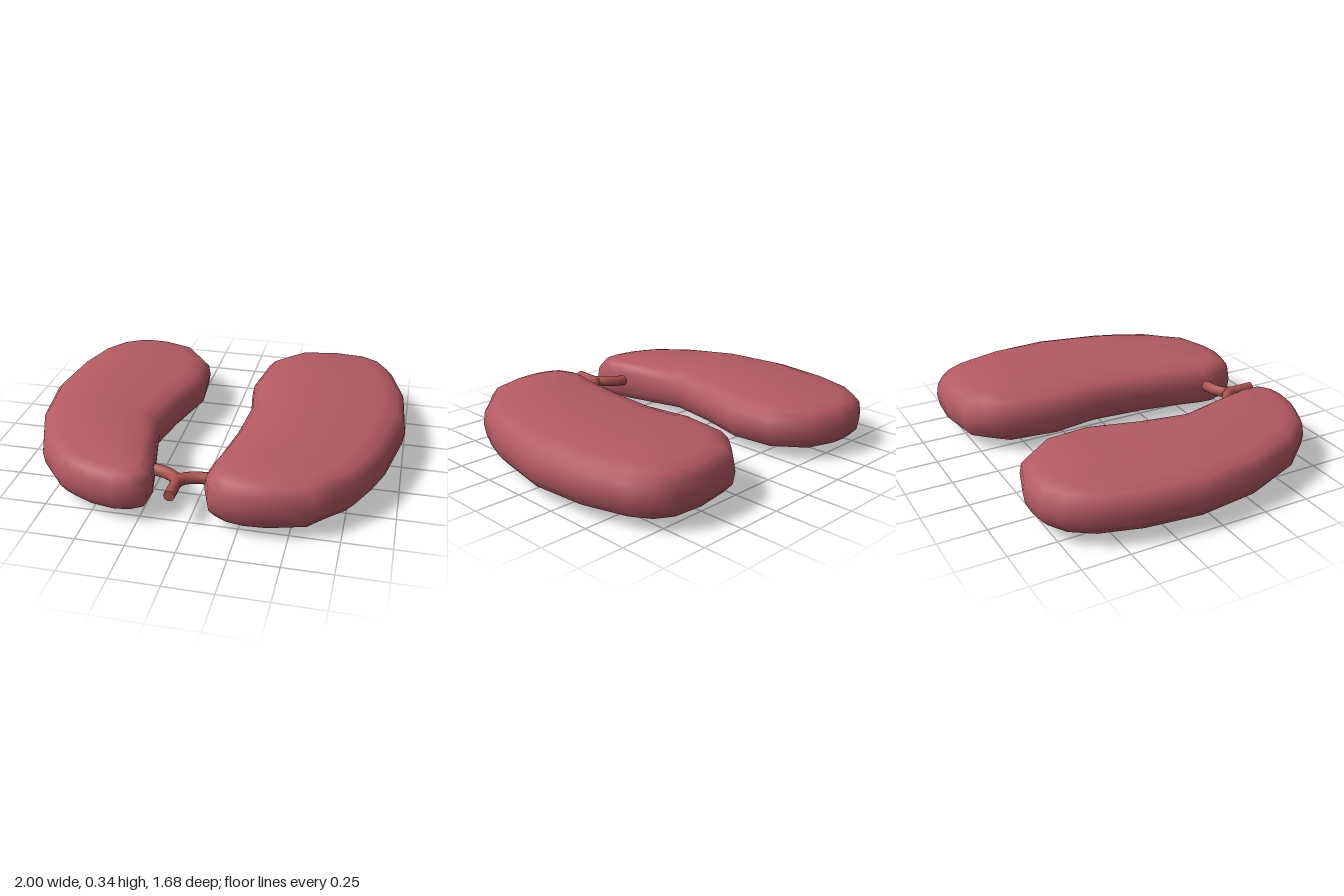
import * as THREE from 'three';
import { mergeVertices } from 'three/addons/utils/BufferGeometryUtils.js';

// Rim-to-centre profile: [fraction of the way out from the spine, fraction of half height]
const HALF = [[0, 1], [0.4, 0.93], [0.7, 0.82], [0.88, 0.66], [0.975, 0.39]];
const PROFILE = [...HALF, [1, 0], ...HALF.map(([s, h]) => [s, -h]).reverse()];

// Pillow-like lobe: paired outline points [xa, za, xb, zb] run from back to front,
// each pair sharing one spine point so that the top and bottom close along the middle.
function lobeGeometry({ back, front, rows, spineBack, spineFront, y, half }) {
  const spine = ([xa, za, xb, zb]) => {
    const z = (za + zb) / 2;
    if (z < spineBack[1]) return spineBack;
    if (z > spineFront[1]) return spineFront;
    return [(xa + xb) / 2, z];
  };
  const loop = [
    { p: back, c: spineBack },
    ...rows.map((r) => ({ p: [r[2], r[3]], c: spine(r) })),
    { p: front, c: spineFront },
    ...rows.map((r) => ({ p: [r[0], r[1]], c: spine(r) })).reverse(),
  ];
  const positions = [];
  const index = [];
  const n = loop.length;
  for (const [s, h] of PROFILE) {
    for (const { p, c } of loop) {
      // the middle is slightly thinner towards both ends
      const thickness = half * (1 - 0.3 * c[1] * c[1]);
      positions.push(c[0] + (p[0] - c[0]) * s, y + h * (s < 0.8 ? thickness : half), c[1] + (p[1] - c[1]) * s);
    }
  }
  for (let k = 0; k < PROFILE.length - 1; k++) {
    for (let i = 0; i < n; i++) {
      const j = (i + 1) % n;
      const a = k * n + i, b = k * n + j, c = a + n, d = b + n;
      index.push(a, b, c, b, d, c);
    }
  }
  let geometry = new THREE.BufferGeometry();
  geometry.setAttribute('position', new THREE.Float32BufferAttribute(positions, 3));
  geometry.setIndex(index);
  geometry = mergeVertices(geometry, 1e-4);
  geometry.computeVertexNormals();
  return geometry;
}

export function createModel() {
  const model = new THREE.Group();
  model.name = 'lungs';
  const tissue = new THREE.MeshStandardMaterial({ color: 0xb55a62 });
  tissue.name = 'lung pink';
  const cartilage = new THREE.MeshStandardMaterial({ color: 0xa8524e });
  cartilage.name = 'airway red';

  const add = (name, geometry, material, parent = model) => {
    const mesh = new THREE.Mesh(geometry, material);
    mesh.name = name;
    parent.add(mesh);
    return mesh;
  };

  // Larger lung
  add('leftLung', lobeGeometry({
    back: [0.55, -0.845], front: [0.27, 0.837],
    spineBack: [0.53, -0.42], spineFront: [0.38, 0.5], y: 0.17, half: 0.168,
    rows: [
      [0.33, -0.81, 0.73, -0.83], [0.24, -0.72, 0.83, -0.77], [0.15, -0.62, 0.9, -0.66],
      [0.11, -0.33, 0.98, -0.39], [0.15, -0.08, 1, -0.08], [0.13, 0.22, 0.93, 0.26],
      [0.1, 0.42, 0.87, 0.42], [0.07, 0.6, 0.8, 0.57], [0.065, 0.68, 0.7, 0.67],
      [0.1, 0.78, 0.61, 0.77], [0.17, 0.82, 0.4, 0.83],
    ],
  }), tissue);

  // Smaller lung with the deeper notch
  add('rightLung', lobeGeometry({
    back: [-0.61, -0.825], front: [-0.36, 0.835],
    spineBack: [-0.57, -0.45], spineFront: [-0.44, 0.52], y: 0.162, half: 0.15,
    rows: [
      [-0.7, -0.815, -0.52, -0.82], [-0.81, -0.75, -0.34, -0.76], [-0.9, -0.62, -0.2, -0.58],
      [-0.97, -0.39, -0.175, -0.33], [-1, -0.09, -0.25, -0.06], [-0.95, 0.24, -0.3, 0.2],
      [-0.84, 0.53, -0.22, 0.56], [-0.68, 0.72, -0.195, 0.68], [-0.6, 0.765, -0.2, 0.78],
      [-0.5, 0.81, -0.27, 0.825],
    ],
  }), tissue);

  // Forked airway between the lungs
  const airway = new THREE.Group();
  airway.name = 'airway';
  model.add(airway);
  const tube = (name, points, radius) => {
    const curve = new THREE.CatmullRomCurve3(points.map((p) => new THREE.Vector3(...p)));
    add(name, new THREE.TubeGeometry(curve, 16, radius, 10), cartilage, airway);
  };
  tube('windpipe', [[-0.078, 0.185, 0.81], [-0.077, 0.183, 0.72], [-0.075, 0.18, 0.63]], 0.029);
  tube('leftBranch', [[-0.078, 0.182, 0.68], [-0.055, 0.18, 0.64], [0.01, 0.178, 0.61], [0.14, 0.175, 0.6]], 0.031);
  tube('rightBranch', [[-0.076, 0.182, 0.68], [-0.1, 0.182, 0.635], [-0.17, 0.178, 0.59], [-0.28, 0.172, 0.565]], 0.031);
  add('windpipeEnd', new THREE.CircleGeometry(0.029, 10), cartilage, airway).position.set(-0.078, 0.185, 0.81);

  return model;
}
